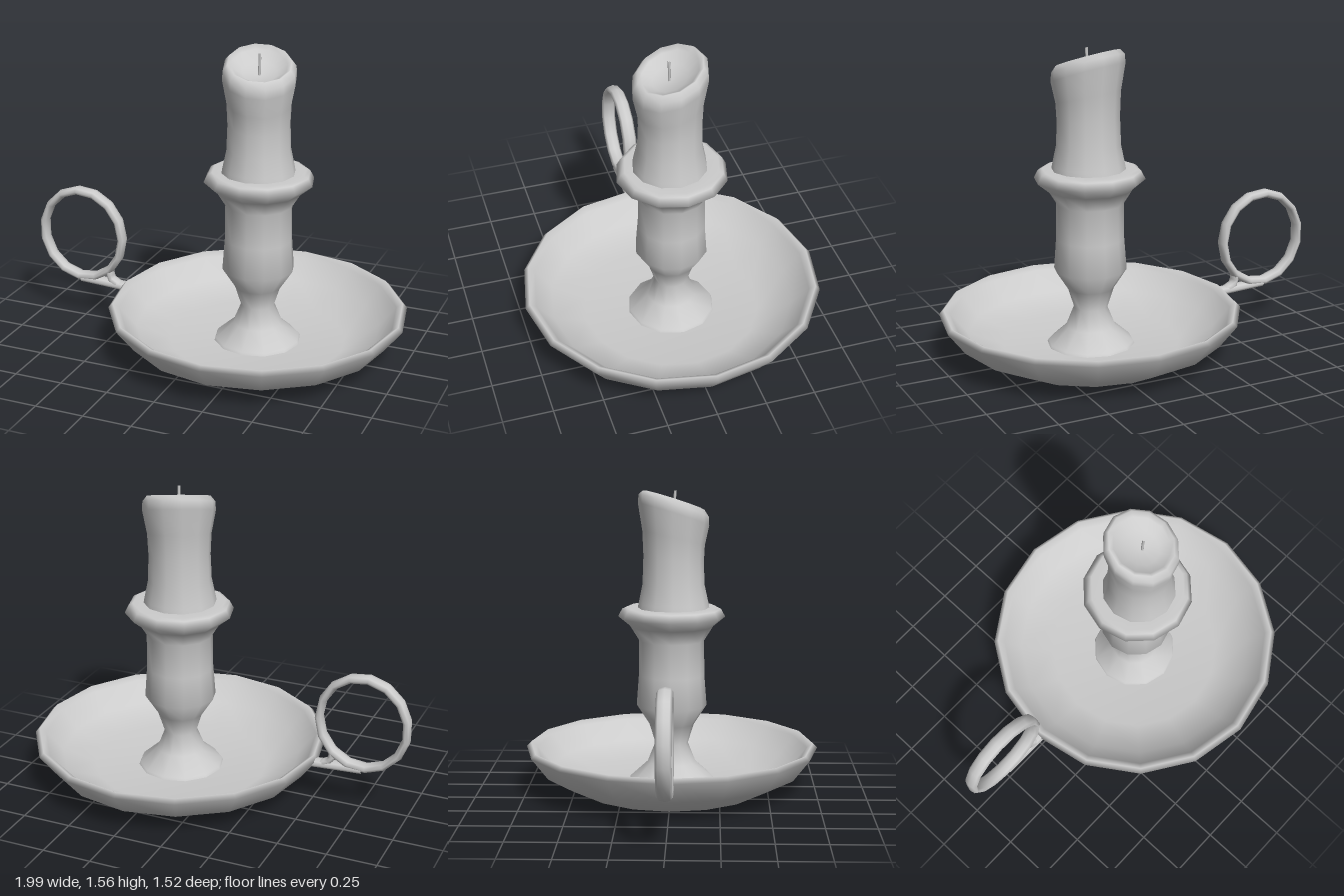
import * as THREE from 'three';
import { mergeVertices } from 'three/addons/utils/BufferGeometryUtils.js';

const AXIS_X = 0.238;
const material = new THREE.MeshStandardMaterial({ color: 0xcccccc });

function part(name, geometry, x = 0, y = 0, z = 0) {
  const mesh = new THREE.Mesh(geometry, material);
  mesh.name = name;
  mesh.position.set(x, y, z);
  return mesh;
}

// Turned shape from [radius, height] pairs
function turned(profile, sides) {
  return new THREE.LatheGeometry(profile.map(([r, y]) => new THREE.Vector2(r, y)), sides);
}

// Candle: a turned shape whose upper end is melted to a slant
function candleGeometry() {
  let geo = turned([
    [0.188, 0.93], [0.18, 0.975], [0.16, 1.07], [0.155, 1.2], [0.16, 1.31], [0.182, 1.43],
    [0.179, 1.475], [0.157, 1.503], [0.135, 1.488], [0.085, 1.455], [0, 1.445],
  ], 12);
  const p = geo.attributes.position;
  for (let i = 0; i < p.count; i++) {
    const x = p.getX(i), y = p.getY(i), z = p.getZ(i);
    const melt = THREE.MathUtils.smoothstep(y, 1.0, 1.47);
    p.setY(i, y - melt * (0.05 * z + 0.022 * x) / 0.16);
  }
  geo.deleteAttribute('normal');
  geo.deleteAttribute('uv');
  geo = mergeVertices(geo, 1e-4);
  geo.computeVertexNormals();
  return geo;
}

export function createModel() {
  const model = new THREE.Group();
  model.name = 'candleholder';

  // Dish with a thick wall and narrow rim
  model.add(part('dish', turned([
    [0, 0], [0.475, 0], [0.672, 0.1], [0.76, 0.215], [0.738, 0.238],
    [0.705, 0.215], [0.62, 0.115], [0.45, 0.05], [0, 0.045],
  ], 16), AXIS_X));

  // Flared foot, stem, cup and drip flange
  model.add(part('candlestick', turned([
    [0.225, 0.04], [0.215, 0.06], [0.125, 0.14], [0.085, 0.24], [0.117, 0.34], [0.182, 0.44],
    [0.17, 0.6], [0.168, 0.78], [0.215, 0.855], [0.276, 0.905],
    [0.255, 0.945], [0.235, 0.954], [0.15, 0.95],
  ], 12), AXIS_X));

  model.add(part('candle', candleGeometry(), AXIS_X, 0, 0.01));

  // Wick
  const wickPath = new THREE.CatmullRomCurve3([
    new THREE.Vector3(0, 1.43, 0), new THREE.Vector3(0.002, 1.5, 0), new THREE.Vector3(0.003, 1.552, 0.004),
  ]);
  model.add(part('wick', new THREE.TubeGeometry(wickPath, 4, 0.007, 6), AXIS_X, 0, 0.015));

  // Finger ring and the tab joining it to the dish
  const handle = new THREE.Group();
  handle.name = 'handle';
  const ring = part('ring', new THREE.TorusGeometry(0.228, 0.021, 8, 15), -0.752, 0.466);
  ring.scale.set(1, 1.06, 1.8);
  const tabPath = new THREE.CatmullRomCurve3([
    new THREE.Vector3(-0.76, 0.216, 0), new THREE.Vector3(-0.63, 0.21, 0), new THREE.Vector3(-0.495, 0.203, 0),
  ]);
  const tab = part('tab', new THREE.TubeGeometry(tabPath, 4, 0.021, 8));
  tab.scale.z = 1.8;
  // Short web filling the fork between ring and tab
  const webPath = new THREE.CatmullRomCurve3([
    new THREE.Vector3(-0.6, 0.285, 0), new THREE.Vector3(-0.59, 0.235, 0), new THREE.Vector3(-0.54, 0.207, 0),
  ]);
  const web = part('web', new THREE.TubeGeometry(webPath, 4, 0.018, 8));
  web.scale.z = 1.8;
  handle.add(ring, tab, web);
  handle.position.z = -0.006;
  model.add(handle);

  return model;
}
